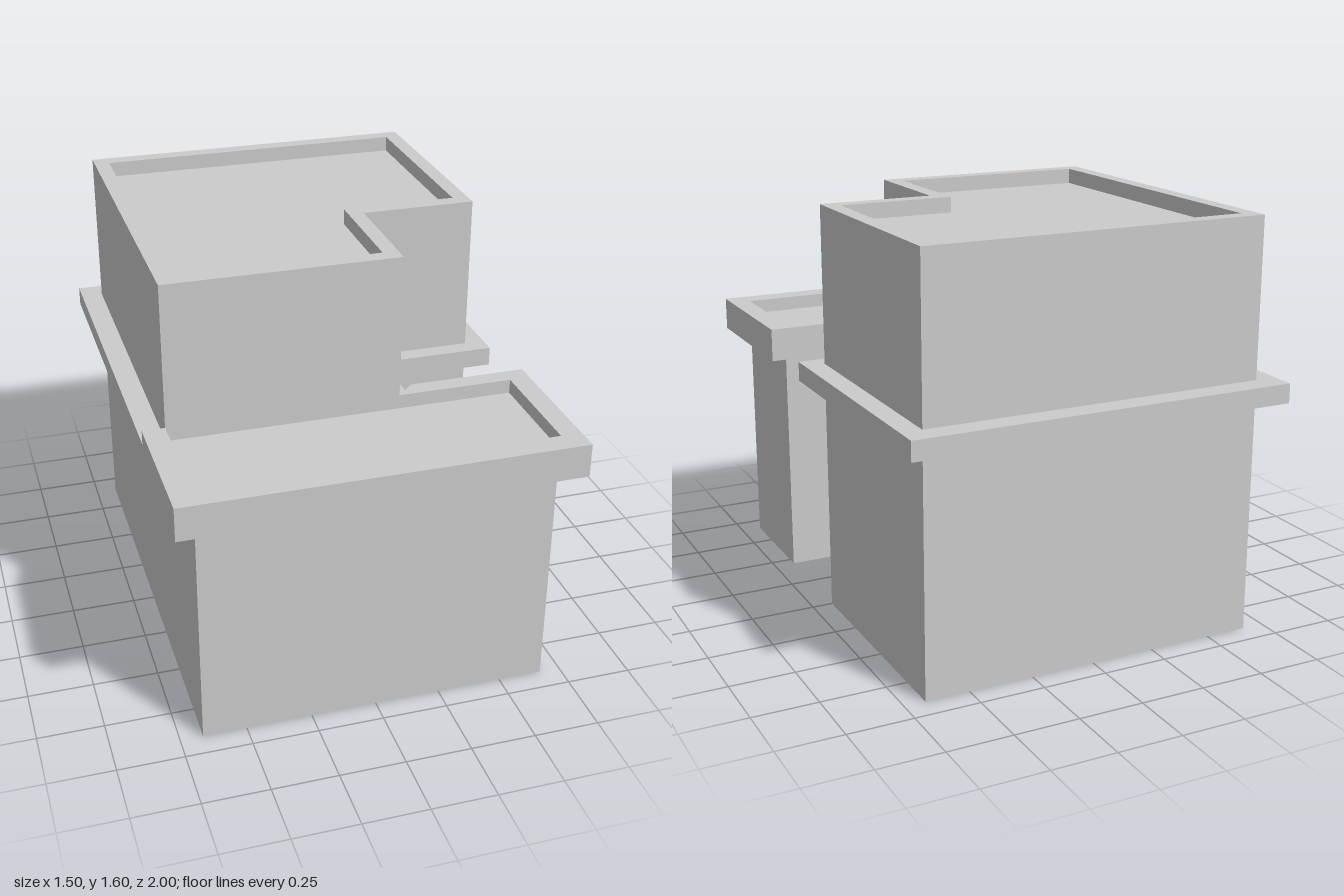
import * as THREE from 'three';

const material = new THREE.MeshStandardMaterial({ color: 0xcccccc, side: THREE.DoubleSide, flatShading: true });

// Plan outlines are lists of [x, z] corners.
const toShape = (plan) => new THREE.Shape(plan.map(([x, z]) => new THREE.Vector2(x, -z)));

function named(geometry, name) {
  const mesh = new THREE.Mesh(geometry, material);
  mesh.name = name;
  return mesh;
}

// Solid slab standing on y0 and ending at y1
function slab(plan, y0, y1, name) {
  const g = new THREE.ExtrudeGeometry(toShape(plan), { depth: y1 - y0, bevelEnabled: false });
  return named(g.rotateX(-Math.PI / 2).translate(0, y0, 0), name);
}

// Flat horizontal surface, optionally with an opening
function flat(plan, y, name, opening) {
  const shape = toShape(plan);
  if (opening) shape.holes.push(toShape(opening));
  return named(new THREE.ShapeGeometry(shape).rotateX(-Math.PI / 2).translate(0, y, 0), name);
}

// Thin vertical walls following a closed outline (counter-clockwise from above faces outwards)
function walls(plan, y0, y1, name) {
  const p = [];
  plan.forEach(([ax, az], i) => {
    const [bx, bz] = plan[(i + 1) % plan.length];
    p.push(ax, y0, az, bx, y0, bz, bx, y1, bz, ax, y0, az, bx, y1, bz, ax, y1, az);
  });
  const g = new THREE.BufferGeometry();
  g.setAttribute('position', new THREE.Float32BufferAttribute(p, 3));
  g.computeVertexNormals();
  return named(g, name);
}

export function createModel() {
  const group = new THREE.Group();
  group.name = 'building';

  const L = -0.665, R = 0.67, B = -0.91, F = 0.91; // wall planes
  const NX = 0.225, MZ = 0.455; // notch side and front of the upper storey
  const ledgeY = 0.915, floorY = 0.99, rimY = 1.045, topY = 1.6, roofY = 1.54;

  // Lower storey: notched walls, open underneath
  const lower = [[L, F], [R, F], [R, MZ], [NX, MZ], [NX, 0], [R, 0], [R, B], [L, B]];
  group.add(walls(lower, 0, ledgeY, 'lowerWalls'));

  // Low ledge around the back and the notch
  group.add(slab([
    [-0.75, MZ], [L, MZ], [L, B], [R, B], [R, 0], [NX, 0], [NX, MZ],
    [0.295, 0.385], [0.295, 0.07], [0.75, 0.07], [0.75, -1], [-0.75, -1],
  ], ledgeY, floorY, 'backLedge'));

  // Raised parapet around the front terrace
  group.add(slab([
    [-0.75, MZ], [-0.75, 1], [0.75, 1], [0.75, 0.385], [0.295, 0.385], [NX, MZ],
    [R, MZ], [R, F], [L, F], [L, MZ],
  ], ledgeY, rimY, 'terraceParapet'));
  group.add(flat([[L, F], [R, F], [R, MZ], [L, MZ]], floorY, 'terraceFloor'));

  // Upper storey with its sunken roof
  const upper = [[L, MZ], [NX, MZ], [NX, 0], [R, 0], [R, B], [L, B]];
  const t = 0.06;
  const inner = [[L + t, MZ - t], [NX - t, MZ - t], [NX - t, -t], [R - t, -t], [R - t, B + t], [L + t, B + t]];
  group.add(walls(upper, floorY, topY, 'upperWalls'));
  group.add(flat(upper, topY, 'roofParapetTop', inner));
  group.add(walls([...inner].reverse(), roofY, topY, 'roofParapetInside'));
  group.add(flat(inner, roofY, 'roof'));

  return group;
}
